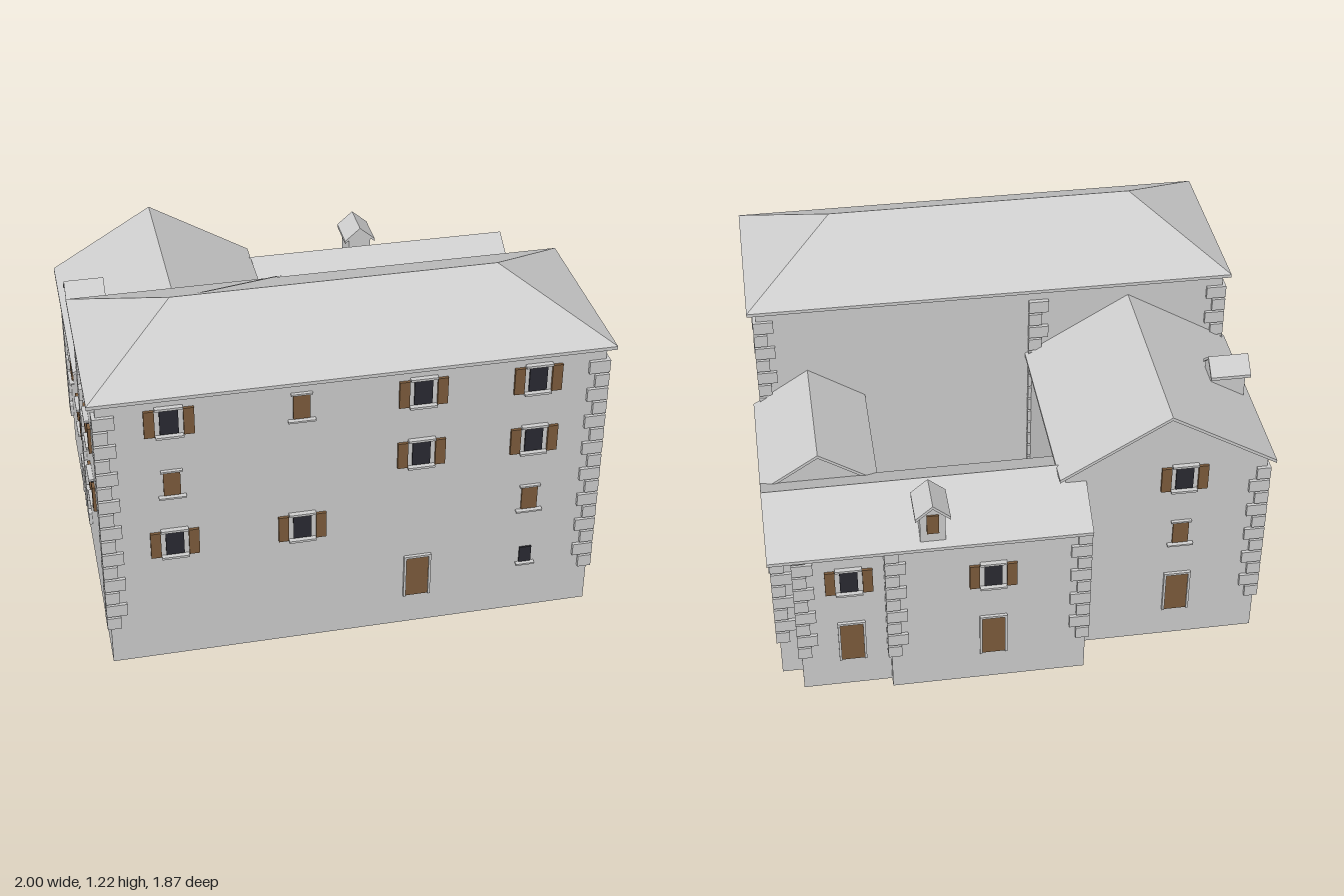
import * as THREE from 'three';

const mat = (name, color, side = THREE.FrontSide) => {
  const m = new THREE.MeshStandardMaterial({ color, side });
  m.name = name;
  return m;
};

export function createModel() {
  const model = new THREE.Group();
  model.name = 'courtyardHouse';
  const house = new THREE.Group();
  house.name = 'house';
  house.rotation.y = 0.2513; // the plan is turned against the axes
  model.add(house);

  const stone = mat('paleStone', 0xcecece, THREE.DoubleSide);
  const wood = mat('brownWood', 0x7d5c3c);
  const glass = mat('darkGlass', 0x2a2a32);

  const add = (parent, name, geo, m = stone) => {
    const mesh = new THREE.Mesh(geo, m);
    mesh.name = name;
    parent.add(mesh);
    return mesh;
  };
  const box = (parent, name, w, h, d, x, y, z, m) =>
    add(parent, name, new THREE.BoxGeometry(w, h, d), m).position.set(x, y, z);

  // flat faces, each a list of corner points
  const faces = (list) => {
    const pos = [];
    for (const f of list)
      for (let i = 1; i < f.length - 1; i++) pos.push(...f[0], ...f[i], ...f[i + 1]);
    const g = new THREE.BufferGeometry();
    g.setAttribute('position', new THREE.Float32BufferAttribute(pos, 3));
    g.computeVertexNormals();
    return g;
  };

  // open wall ring; each point is [x, z, top height]
  const walls = (parent, name, path, base = 0) =>
    add(parent, name, faces(path.map(([x, z, t], i) => {
      const [x2, z2, t2] = path[(i + 1) % path.length];
      return [[x, base, z], [x2, base, z2], [x2, t2, z2], [x, t, z]];
    })));

  // thin gable roof shell with its ridge running along z
  const T = 0.012;
  const gableRoof = (parent, name, half, eave, ridge, len) => {
    const s = new THREE.Shape([[-half, eave - T], [0, ridge - T], [half, eave - T],
      [half, eave], [0, ridge], [-half, eave]].map((p) => new THREE.Vector2(...p)));
    const g = new THREE.ExtrudeGeometry(s, { depth: len, bevelEnabled: false });
    g.translate(0, 0, -len / 2);
    return add(parent, name, g);
  };

  // main block and its hip roof
  walls(house, 'mainWalls', [[-0.848, 0.728, 1.045], [0.81, 0.728, 1.045], [0.81, 0.11, 1.045], [-0.848, 0.1, 1.045]]);
  const x0 = -0.874, x1 = 0.84, z0 = 0.084, z1 = 0.742, lo = 1.038, hi = 1.05;
  const rim = [[x0, z1], [x1, z1], [x1, z0], [x0, z0]];
  const [A, B, C, D] = rim.map(([x, z]) => [x, hi, z]);
  const R0 = [-0.564, 1.22, 0.425], R1 = [0.521, 1.22, 0.425];
  add(house, 'mainRoof', faces([
    [A, B, R1, R0], [B, C, R1], [C, D, R0, R1], [D, A, R0],
    ...rim.map(([x, z], i) => {
      const [u, v] = rim[(i + 1) % 4];
      return [[x, lo, z], [u, lo, v], [u, hi, v], [x, hi, z]];
    }),
    rim.map(([x, z]) => [x, lo, z]).reverse(),
  ]));
  add(house, 'roofValley', faces([
    [[-0.16, 1.054, 0.084], [-0.475, 1.216, 0.41], [-0.445, 1.216, 0.41], [-0.13, 1.054, 0.084]],
  ]));

  // left wing
  walls(house, 'leftWingWalls', [[-0.848, 0.1, 0.77], [-0.848, -0.6, 0.77], [-0.505, -0.6, 0.978],
    [-0.16, -0.6, 0.77], [-0.16, 0.1, 0.77]]);
  gableRoof(house, 'leftWingRoof', 0.368, 0.77, 0.99, 0.732).position.set(-0.505, 0, -0.256);

  // right wing
  walls(house, 'rightWingWalls', [[0.465, 0.1, 0.648], [0.465, -0.37, 0.648], [0.645, -0.37, 0.763],
    [0.812, -0.37, 0.655], [0.812, 0.1, 0.655]]);
  gableRoof(house, 'rightWingRoof', 0.2, 0.645, 0.775, 0.49).position.set(0.645, 0, -0.135);

  // back wing, stepped along its rear side
  walls(house, 'backWingWalls', [[-0.2, -0.36, 0.648], [0.825, -0.36, 0.648], [0.825, -0.546, 0.763],
    [0.825, -0.596, 0.731], [0.755, -0.596, 0.731], [0.755, -0.683, 0.676], [0.45, -0.683, 0.676],
    [0.45, -0.72, 0.653], [-0.22, -0.72, 0.653], [-0.22, -0.546, 0.763]]);
  const backRoof = gableRoof(house, 'backWingRoof', 0.2075, 0.645, 0.775, 1.073);
  backRoof.rotation.y = Math.PI / 2;
  backRoof.position.set(0.3065, 0, -0.5455);

  // corner stones: sx and sz point away from the building at each corner
  const quoins = (x, z, sx, sz, top, from = 0.15) => {
    const g = new THREE.Group();
    g.name = 'cornerStones';
    house.add(g);
    for (let i = 0, y = from; y + 0.047 < top; i++, y += 0.0535) {
      const a = i % 2 ? 0.07 : 0.047, b = i % 2 ? 0.047 : 0.07;
      box(g, 'cornerStone', a, 0.046, b, x + sx * (0.012 - a / 2), y + 0.023, z + sz * (0.012 - b / 2), stone);
    }
  };
  quoins(-0.848, 0.728, -1, 1, 1.04);
  quoins(0.81, 0.728, 1, 1, 1.04);
  quoins(0.81, 0.11, 1, -1, 1.04);
  quoins(-0.848, 0.1, -1, -1, 1.04);
  quoins(-0.16, 0.1, 1, -1, 1.04);
  quoins(-0.848, -0.6, -1, -1, 0.76);
  quoins(-0.16, -0.6, 1, -1, 0.76);
  quoins(-0.22, -0.72, -1, -1, 0.64);
  quoins(0.45, -0.72, 1, -1, 0.64);
  quoins(0.755, -0.683, 1, -1, 0.64);
  quoins(0.825, -0.596, 1, -1, 0.64);
  quoins(0.825, -0.36, 1, 1, 0.64);

  // openings, built facing +z and then turned onto their wall
  const opening = (kind, x, y, z, turn) => {
    const g = new THREE.Group();
    g.name = kind;
    g.position.set(x, y, z);
    g.rotation.y = turn;
    house.add(g);
    const plate = (name, w, h, px, py, m, d = 0.008) => box(g, name, w, h, d, px, py, 0.002, m);
    if (kind === 'shutteredWindow') {
      plate('pane', 0.06, 0.088, 0, 0, glass);
      for (const s of [-1, 1]) plate('shutter', 0.034, 0.098, s * 0.063, 0, wood, 0.016);
      plate('sill', 0.09, 0.008, 0, -0.052, stone, 0.03);
      plate('lintel', 0.09, 0.008, 0, 0.055, stone, 0.03);
    } else if (kind === 'closedWindow') {
      plate('closedShutter', 0.055, 0.088, 0, 0, wood);
      plate('sill', 0.09, 0.006, 0, -0.05, stone, 0.03);
      plate('lintel', 0.07, 0.006, 0, 0.05, stone, 0.02);
    } else if (kind === 'smallWindow') {
      plate('pane', 0.042, 0.062, 0, 0, glass);
      plate('sill', 0.065, 0.006, 0, -0.036, stone, 0.03);
    } else {
      plate('doorLeaf', 0.078, 0.16, 0, 0, wood);
      for (const s of [-1, 1]) plate('doorFrame', 0.008, 0.168, s * 0.043, 0.004, stone, 0.018);
      plate('doorLintel', 0.094, 0.008, 0, 0.086, stone, 0.018);
    }
  };
  const S = 'shutteredWindow', K = 'closedWindow', W = 'smallWindow', O = 'door';
  const E = Math.PI / 2;
  // front wall
  for (const [k, x, y] of [[S, -0.62, 0.953], [K, -0.197, 0.953], [S, 0.2, 0.953], [S, 0.582, 0.953],
    [K, -0.62, 0.715], [S, 0.2, 0.715], [S, 0.582, 0.715],
    [S, -0.62, 0.475], [S, -0.197, 0.475], [K, 0.582, 0.475], [O, 0.2, 0.2], [W, 0.582, 0.233]])
    opening(k, x, y, 0.728, 0);
  // right walls
  for (const [k, x, y, z] of [[S, 0.81, 0.953, 0.445], [S, 0.81, 0.715, 0.445], [O, 0.81, 0.2, 0.448],
    [S, 0.812, 0.475, -0.159], [K, 0.825, 0.475, -0.504], [O, 0.825, 0.2, -0.504]])
    opening(k, x, y, z, E);
  // left walls
  for (const [k, y, z] of [[S, 0.715, 0.368], [S, 0.475, 0.368], [S, 0.475, -0.055], [O, 0.2, -0.04],
    [K, 0.71, -0.39], [K, 0.475, -0.39]])
    opening(k, -0.848, y, z, -E);
  // back walls
  for (const [k, x, y, z] of [[S, -0.565, 0.715, -0.6], [K, -0.565, 0.475, -0.6], [O, -0.565, 0.2, -0.6],
    [S, 0.1, 0.475, -0.72], [O, 0.1, 0.2, -0.72], [S, 0.58, 0.475, -0.683], [O, 0.58, 0.2, -0.683]])
    opening(k, x, y, z, 2 * E);

  // dormers, built facing -z with the ridge at y = 0
  const dormer = (name, x, y, z, turn, m) => {
    const g = new THREE.Group();
    g.name = name;
    g.position.set(x, y, z);
    g.rotation.y = turn;
    house.add(g);
    gableRoof(g, 'dormerRoof', 0.058, -0.05, 0, 0.14);
    walls(g, 'dormerWalls', [[-0.042, -0.055, -0.048], [0, -0.055, -0.012], [0.042, -0.055, -0.048],
      [0.042, 0.066, -0.048], [0, 0.066, -0.012], [-0.042, 0.066, -0.048]], -0.16);
    box(g, 'dormerWindow', 0.04, 0.075, 0.008, 0, -0.085, -0.057, m);
  };
  dormer('backDormer', 0.3, 0.817, -0.676, 0, wood);
  dormer('leftDormer', -0.79, 0.935, -0.234, E, glass);

  return model;
}
